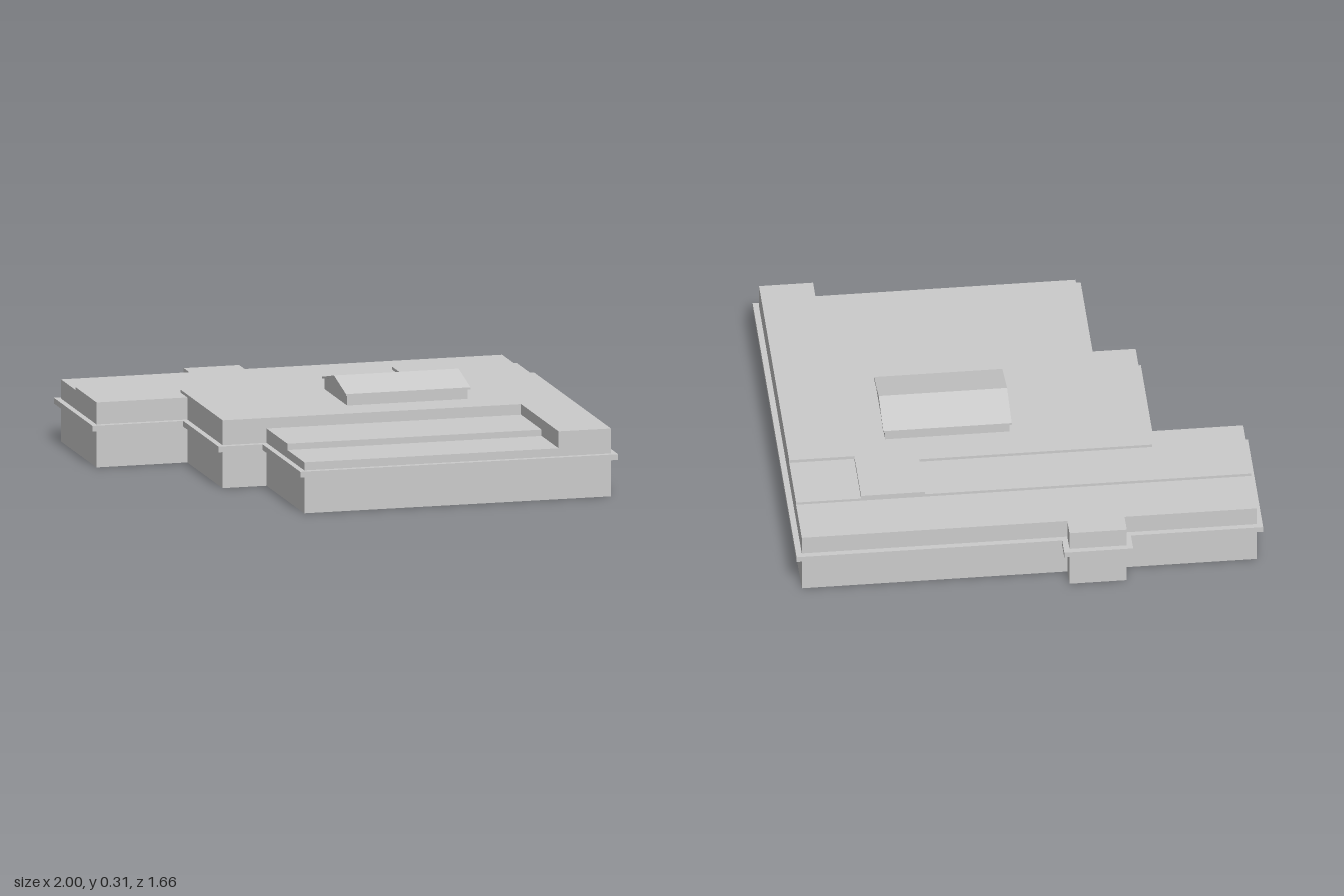
import * as THREE from 'three';

const material = new THREE.MeshStandardMaterial({ color: 0xcccccc, flatShading: true });

// Plan outline of the eave band, in the building's own (u, v) axes
const outline = [
  [-0.64, -0.619], [0.804, -0.619], [0.804, 0.51], [0.317, 0.51],
  [0.317, 0.666], [-0.138, 0.666], [-0.138, 0.988], [-0.637, 0.988],
  [-0.637, 0.532], [-0.71, 0.532], [-0.71, 0.295], [-0.64, 0.295],
];

// Shrinks a right-angled outline inward by d
function inset(points, d) {
  const n = points.length;
  const normal = (a, b) => {
    const l = Math.hypot(b[0] - a[0], b[1] - a[1]);
    return [-(b[1] - a[1]) / l, (b[0] - a[0]) / l];
  };
  return points.map((p, i) => {
    const a = normal(points[(i + n - 1) % n], p);
    const b = normal(p, points[(i + 1) % n]);
    return [p[0] + d * (a[0] + b[0]), p[1] + d * (a[1] + b[1])];
  });
}

// Vertical prism over a plan polygon, from height y0 to y1
function prism(name, points, y0, y1) {
  const shape = new THREE.Shape(points.map(([u, v]) => new THREE.Vector2(u, -v)));
  const geometry = new THREE.ExtrudeGeometry(shape, { depth: y1 - y0, bevelEnabled: false });
  geometry.rotateX(-Math.PI / 2).translate(0, y0, 0);
  const mesh = new THREE.Mesh(geometry, material);
  mesh.name = name;
  return mesh;
}

// Profile in the (u, y) plane, extruded along v
function gable(name, points, v0, v1) {
  const shape = new THREE.Shape(points.map(([u, y]) => new THREE.Vector2(u, y)));
  const geometry = new THREE.ExtrudeGeometry(shape, { depth: v1 - v0, bevelEnabled: false });
  geometry.translate(0, 0, v0);
  const mesh = new THREE.Mesh(geometry, material);
  mesh.name = name;
  return mesh;
}

export function createModel() {
  const building = new THREE.Group();
  building.name = 'building';
  building.rotation.y = -0.453;

  // Walls, with the projecting band around them; the wall top is the lowest roof
  building.add(prism('walls', inset(outline, 0.02), 0, 0.178));
  building.add(prism('eaveBand', outline, 0.13, 0.15));

  // Main roof, wrapping around the lower terraces
  const base = 0.17;
  building.add(prism('mainRoof', [
    [-0.206, -0.599], [0.784, -0.599], [0.784, -0.413], [0.302, -0.413],
    [0.297, 0.646], [-0.247, 0.646], [-0.247, -0.156], [-0.432, -0.156],
    [-0.432, -0.375], [-0.206, -0.375],
  ], base, 0.237));

  // Left side roof with its small bay
  building.add(prism('leftRoof', [
    [-0.62, -0.599], [-0.432, -0.599], [-0.432, 0.968], [-0.617, 0.968],
    [-0.617, 0.512], [-0.69, 0.512], [-0.69, 0.315], [-0.62, 0.315],
  ], base, 0.217));
  building.add(prism('backLeftRoof', [
    [-0.432, -0.599], [-0.206, -0.599], [-0.206, -0.375], [-0.432, -0.375],
  ], base, 0.226));
  building.add(prism('frontWingRoof', [
    [-0.432, -0.156], [-0.247, -0.156], [-0.247, 0.646], [-0.158, 0.646],
    [-0.158, 0.968], [-0.432, 0.968],
  ], base, 0.227));

  // Upper step of the sunken terrace on the right
  building.add(prism('rightTerrace', [
    [0.297, -0.413], [0.566, -0.413], [0.566, 0.49], [0.297, 0.49],
  ], base, 0.2));

  // Raised rooftop house with a gabled roof
  const mid = 0.023, half = 0.154, wall = 0.145;
  building.add(gable('roofHouseWalls', [
    [mid - wall, 0.22], [mid + wall, 0.22], [mid + wall, 0.276],
    [mid, 0.308], [mid - wall, 0.276],
  ], -0.26, 0.168));
  building.add(gable('roofHouseRoof', [
    [mid - half, 0.272], [mid, 0.306], [mid + half, 0.272],
    [mid + half, 0.279], [mid, 0.314], [mid - half, 0.279],
  ], -0.267, 0.175));

  const model = new THREE.Group();
  model.name = 'model';
  model.add(building);
  return model;
}
